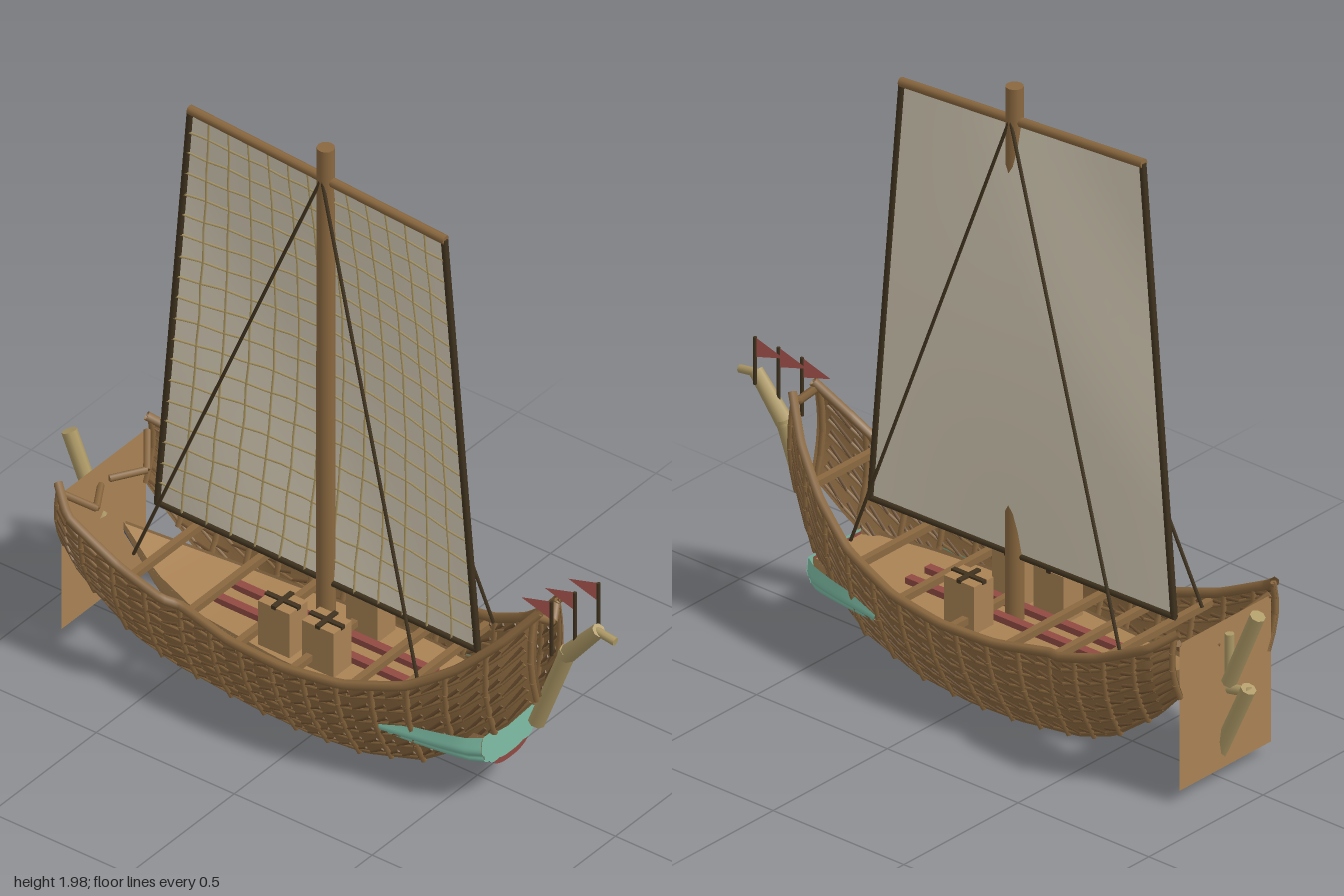
import * as THREE from 'three';
import { mergeGeometries } from 'three/addons/utils/BufferGeometryUtils.js';

const mat = (name, color) => new THREE.MeshStandardMaterial({ name, color, side: THREE.DoubleSide });
const V = (x, y, z) => new THREE.Vector3(x, y, z);
const UP = V(0, 1, 0);

// Round bar geometry between two points
function bar(a, b, r, sides = 8, r2 = r) {
  const d = b.clone().sub(a);
  const g = new THREE.CylinderGeometry(r2, r, d.length(), sides);
  g.applyQuaternion(new THREE.Quaternion().setFromUnitVectors(UP, d.normalize()));
  return g.translate((a.x + b.x) / 2, (a.y + b.y) / 2, (a.z + b.z) / 2);
}

// Grid surface from a function of (u, v) in 0..1
function surface(fn, nu, nv) {
  const pos = [], idx = [];
  for (let i = 0; i <= nu; i++) for (let j = 0; j <= nv; j++) pos.push(...fn(i / nu, j / nv).toArray());
  for (let i = 0; i < nu; i++) for (let j = 0; j < nv; j++) {
    const a = i * (nv + 1) + j, b = a + nv + 1;
    idx.push(a, b, a + 1, b, b + 1, a + 1);
  }
  const g = new THREE.BufferGeometry();
  g.setAttribute('position', new THREE.Float32BufferAttribute(pos, 3));
  g.setIndex(idx);
  g.computeVertexNormals();
  return g;
}

// Linear look-up in rows sorted by their first number
function lookup(rows, x) {
  let i = 0;
  while (i < rows.length - 2 && x > rows[i + 1][0]) i++;
  const a = rows[i], b = rows[i + 1], t = THREE.MathUtils.clamp((x - a[0]) / (b[0] - a[0]), 0, 1);
  return a.map((v, k) => v + (b[k] - v) * t);
}

// Woven side: x, rim y, rim z, lower y, lower z
const SIDE = [
  [-0.86, 0.56, 0.21, 0.35, 0.19], [-0.78, 0.5, 0.262, 0.26, 0.2], [-0.6, 0.41, 0.265, 0.125, 0.19],
  [-0.45, 0.36, 0.262, 0.06, 0.165], [-0.39, 0.345, 0.24, 0.045, 0.155], [-0.2, 0.315, 0.26, 0.01, 0.14],
  [0, 0.31, 0.265, 0.0, 0.135], [0.2, 0.33, 0.25, 0.02, 0.135], [0.4, 0.39, 0.213, 0.08, 0.13],
  [0.55, 0.485, 0.165, 0.18, 0.115], [0.67, 0.6, 0.11, 0.29, 0.08], [0.76, 0.71, 0.045, 0.41, 0.035],
];
const X0 = -0.86, X1 = 0.76;
function sidePoint(x, v, s) {
  const [, yt, zt, yb, zb] = lookup(SIDE, x);
  return V(x, yb + (yt - yb) * v, s * (zb + (zt - zb) * v + 0.022 * Math.sin(Math.PI * v)));
}

// Rounded-box section: cosine and sine with fuller corners
const fullCos = (a, e) => Math.sign(Math.cos(a)) * Math.abs(Math.cos(a)) ** e;
const fullSin = (a, e) => Math.max(0, Math.sin(a)) ** e;

// Inner hull: x, half width, upper y, lower y
const HULL = [
  [-0.78, 0.004, 0.34, 0.3], [-0.6, 0.085, 0.285, 0.175], [-0.4, 0.14, 0.255, 0.11], [-0.1, 0.17, 0.25, 0.083],
  [0.2, 0.175, 0.25, 0.078], [0.4, 0.155, 0.25, 0.085], [0.62, 0.115, 0.25, 0.115],
];
function hullPoint(x, a, k = 1) {
  const [, w, yt, yb] = lookup(HULL, x);
  return V(x, yt - (yt - yb) * k * fullSin(a, 0.75), w * k * fullCos(a, 0.75));
}

// Sail surface: u across, v upward
function sailPoint(u, v, dz = 0) {
  const l = -0.66 + 0.12 * v, r = 0.5 - 0.12 * v;
  const y = (0.46 + 1.44 * v) * (1 - u) + (0.44 + 1.4 * v) * u;
  return V(l + (r - l) * u, y, dz - 0.078 * Math.sin(Math.PI * u) * Math.sin(Math.PI * v));
}

export function createModel() {
  const M = {
    wood: mat('wood', 0x8a683f), dark: mat('dark wood', 0x6e5030), rope: mat('rope', 0x40331f),
    tan: mat('pale timber', 0xad9966), teal: mat('teal', 0x7dbca5), flag: mat('flag red', 0xb85c54),
    red: mat('hull red', 0x904a43), blue: mat('blue', 0x41608c), sail: mat('sailcloth', 0xdad0ba),
    deck: mat('deck timber', 0xa98254),
  };
  const model = new THREE.Group();
  const add = (name, geo, m) => {
    const mesh = new THREE.Mesh(Array.isArray(geo) ? mergeGeometries(geo) : geo, m);
    mesh.name = name;
    model.add(mesh);
  };
  const box = (w, h, d, x, y, z) => new THREE.BoxGeometry(w, h, d).translate(x, y, z);

  // Woven sides with ribs, strakes and slanting slats
  for (const s of [1, -1]) {
    const tag = s > 0 ? 'front' : 'back';
    add(tag + 'SidePanel', surface((u, v) => sidePoint(X0 + (X1 - X0) * u, v, s), 54, 6), M.wood);
    const ribs = [], slats = [];
    for (let i = 0; i < 15; i++) {
      const x = X0 + 0.01 + i * 0.114;
      for (let j = 0; j < 4; j++) ribs.push(bar(sidePoint(x, j / 4, s), sidePoint(x, (j + 1) / 4, s), 0.01, 6));
    }
    for (let row = 0; row < 6; row++) for (let i = 0; i < 28; i++) {
      const x = X0 + 0.01 + i * 0.0565, v = 0.05 + row * 0.16;
      slats.push(bar(sidePoint(x, v, s), sidePoint(x + 0.05, v + 0.07, s), 0.006, 4));
      ribs.push(bar(sidePoint(x, v, s), sidePoint(x + 0.0565, v, s), 0.006, 4));
    }
    add(tag + 'Ribs', ribs, M.wood);
    add(tag + 'Slats', slats, M.dark);
    const rim = new THREE.CatmullRomCurve3(SIDE.map(r => sidePoint(r[0], 1, s)), false, 'catmullrom', 0.2);
    add(tag + 'Rail', new THREE.TubeGeometry(rim, 80, 0.015, 6), M.wood);
    add(tag + 'SternBrace', [
      bar(V(-0.85, 0.52, s * 0.2), V(-0.79, 0.45, s * 0.12), 0.011, 6),
      bar(V(-0.79, 0.45, s * 0.12), V(-0.85, 0.45, s * 0.02), 0.011, 6),
    ], M.wood);
    add(tag + 'BowBrace', bar(V(0.75, 0.69, s * 0.045), V(0.775, 0.66, 0), 0.013, 6), M.wood);
  }

  // Inner hull in colour bands, from the rim round under the keel
  const bands = [[0, 0.65, M.deck], [0.65, 1.05, M.blue], [1.05, Math.PI - 1.05, M.red],
    [Math.PI - 1.05, Math.PI - 0.65, M.blue], [Math.PI - 0.65, Math.PI, M.deck]];
  bands.forEach(([a, b, m], i) =>
    add('hullBand' + i, surface((u, v) => hullPoint(-0.78 + 1.4 * u, a + (b - a) * v), 28, 8), m));
  add('deck', surface((u, v) => {
    const p = hullPoint(-0.78 + 1.4 * u, 0);
    return V(p.x, p.y - 0.01, p.z * (2 * v - 1));
  }, 28, 1), M.deck);
  add('hullEnd', surface((u, v) => hullPoint(0.62, Math.PI * u, v), 20, 1), M.red);

  // Teal bow shell of ridged strakes, flaring aft from a flat rounded face
  const shellPoint = (u, a) => {
    const ridge = 0.97 + 0.05 * Math.abs(Math.sin(a * 7));
    return V(
      0.62 - u * (0.17 + 0.15 * Math.abs(Math.cos(a))),
      0.257 - 0.03 * u - (0.118 - 0.045 * u) * fullSin(a, 0.6) * ridge,
      (0.14 + 0.07 * Math.sqrt(u)) * fullCos(a, 0.6) * ridge);
  };
  add('bowShell', surface((u, v) => shellPoint(u, Math.PI * v), 8, 56), M.teal);
  add('bowFace', surface((u, v) => {
    const p = shellPoint(0, Math.PI * u);
    return V(0.622, 0.257 + (p.y - 0.257) * v, p.z * v);
  }, 56, 1), M.teal);

  // Cross beams between the sides
  add('crossBeams', [-0.57, -0.38, -0.2, 0, 0.2, 0.37, 0.6].map(x => {
    const p = sidePoint(x, 0.9, 1);
    return box(0.022, 0.022, p.z * 2, x, p.y, 0);
  }), M.wood);

  // Deck stringers, cargo boxes and their straps
  for (const s of [1, -1]) add('stringer', box(0.74, 0.02, 0.028, -0.05, 0.255, s * 0.042), M.red);
  for (const [x, z] of [[-0.13, 0.1], [0.03, 0.1], [0.025, -0.115]]) {
    add('cargoBox', box(0.115, 0.155, 0.085, x, 0.32, z), M.deck);
    add('cargoStraps', [box(0.121, 0.012, 0.016, x, 0.398, z), box(0.016, 0.012, 0.091, x, 0.398, z)], M.rope);
  }

  // Mast, sail, yards and edge ropes
  add('mast', bar(V(-0.05, 0.24, 0), V(-0.05, 1.98, 0), 0.029, 12, 0.027), M.wood);
  add('sail', surface((u, v) => sailPoint(u, v), 20, 30), M.sail);
  add('topYard', bar(sailPoint(-0.005, 1), sailPoint(1.005, 1), 0.015), M.wood);
  add('bottomYard', bar(sailPoint(-0.005, 0), sailPoint(1.005, 0), 0.01), M.rope);
  for (const u of [0, 1]) add('sailEdge', bar(sailPoint(u, 0), sailPoint(u, 1), 0.011, 6), M.rope);

  // Rope net on the sail's face
  const net = [];
  const line = f => {
    const pts = [];
    for (let i = 0; i <= 14; i++) pts.push(f(i / 14));
    net.push(new THREE.TubeGeometry(new THREE.CatmullRomCurve3(pts), 28, 0.0042, 4));
  };
  for (let i = 1; i < 13; i++) line(t => sailPoint(i / 13 + 0.002 * Math.sin(t * 40 + i), t, 0.005));
  for (let j = 1; j < 19; j++) line(t => sailPoint(t, j / 19 + 0.002 * Math.sin(t * 35 + j * 2), 0.005));
  add('sailNet', net, M.tan);

  // Shrouds, clear of the sail on both sides
  const stays = [];
  for (const x of [-0.61, 0.42]) for (const s of [1, -1])
    stays.push(bar(V(-0.05, 1.88, s * 0.02), V(x, 0.4, s * 0.18), 0.0055, 6));
  add('shrouds', stays, M.rope);

  // Stern board and steering timbers
  add('sternBoard', new THREE.PlaneGeometry(0.4, 0.48).rotateY(Math.PI / 2).translate(-0.855, 0.28, 0), M.deck);
  add('steeringTimbers', [
    bar(V(-0.98, 0.575, 0), V(-0.87, 0.32, 0), 0.024),
    bar(V(-0.945, 0.325, 0), V(-0.828, 0.07, 0), 0.024),
    bar(V(-0.95, 0.315, 0), V(-0.87, 0.3, 0), 0.016),
    bar(V(-0.872, 0.48, 0), V(-0.872, 0.32, 0), 0.014),
  ], M.tan);

  // Bow post
  add('bowPost', [
    bar(V(0.715, 0.28, 0), V(0.83, 0.58, 0), 0.027),
    bar(V(0.82, 0.56, 0), V(0.94, 0.7, 0), 0.028, 8, 0.022),
    bar(V(0.93, 0.695, 0), V(1.0, 0.685, 0), 0.013),
  ], M.tan);

  // Flags on poles, stepped across the bow
  for (let i = 0; i < 3; i++) {
    const x = 0.805 + i * 0.053, top = 0.77 + i * 0.032, z = 0.048 - 0.042 * i;
    add('flagPole', bar(V(x, 0.58 + i * 0.05, z), V(x, top, z), 0.006, 6), M.rope);
    const tri = new THREE.Shape([new THREE.Vector2(x, top), new THREE.Vector2(x - 0.11, top - 0.032),
      new THREE.Vector2(x, top - 0.065)]);
    add('flag', new THREE.ShapeGeometry(tri).translate(0, 0, z), M.flag);
  }
  return model;
}
